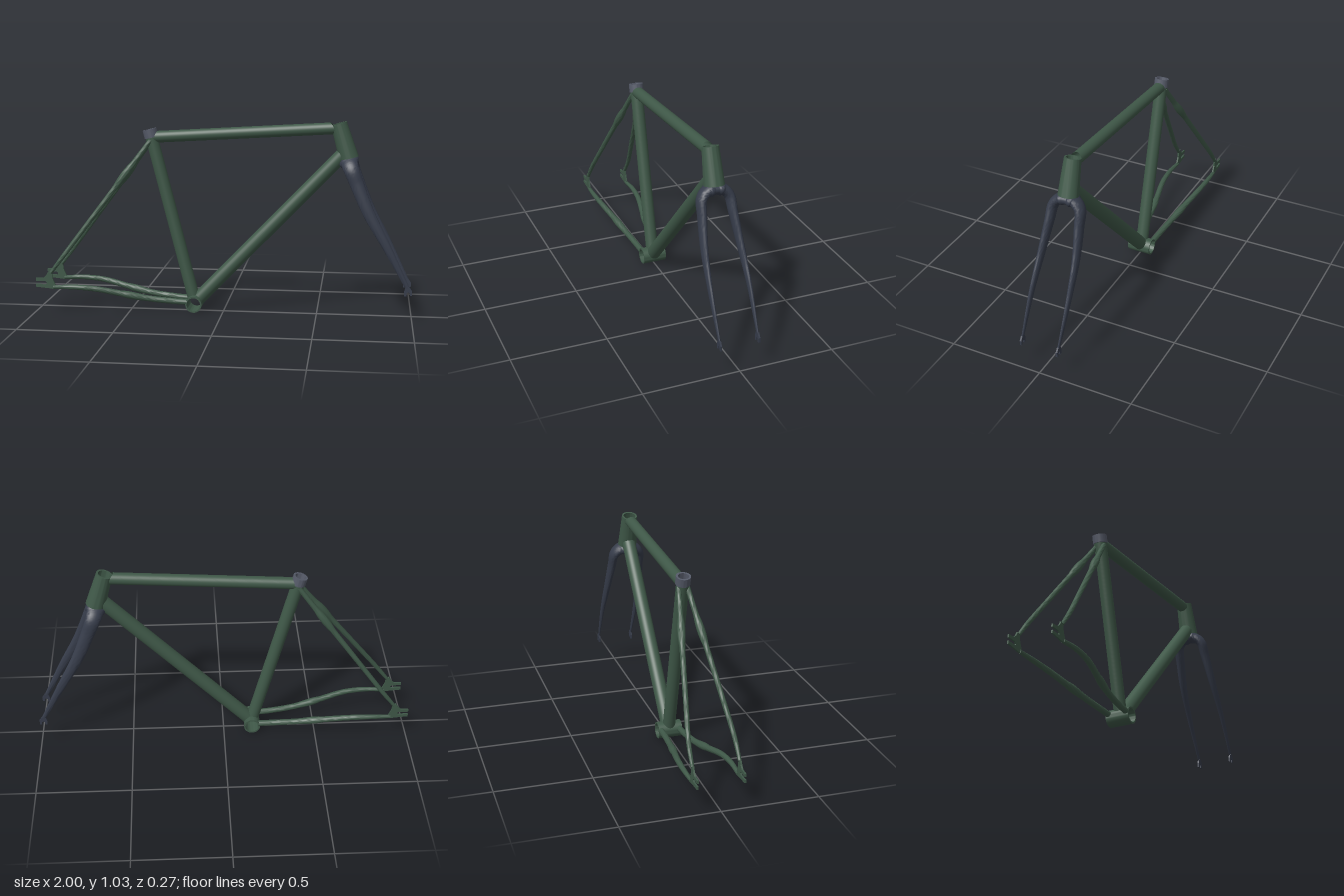
import * as THREE from 'three';
import { toCreasedNormals } from 'three/addons/utils/BufferGeometryUtils.js';

const V = (x, y, z = 0) => new THREE.Vector3(x, y, z);
const paint = (color) => new THREE.MeshStandardMaterial({ color, side: THREE.DoubleSide });
const green = paint(0x3f5848), dark = paint(0x363c4a), steel = paint(0x555a68);

// Main joints of the frame
const BB = V(-0.155, 0.045), SEAT = V(-0.391, 0.966);
const HEAD_TOP = V(0.603, 1.02), HEAD_LOW = V(0.658, 0.838);

export function createModel() {
  const bike = new THREE.Group();
  bike.name = 'bicycleFrame';

  const add = (name, geometry, material) => {
    const mesh = new THREE.Mesh(geometry, material);
    mesh.name = name;
    bike.add(mesh);
    return mesh;
  };

  const align = (geo, a, dir) => {
    geo.applyQuaternion(new THREE.Quaternion().setFromUnitVectors(V(0, 1, 0), dir));
    return geo.translate(a.x, a.y, a.z);
  };

  // Hollow sleeve from a to b with a visible wall
  const sleeve = (name, a, b, ra, rb, wall, material) => {
    const dir = b.clone().sub(a), h = dir.length();
    const profile = [[ra - wall, 0], [ra, 0], [rb, h], [rb - wall, h], [ra - wall, 0]];
    const lathe = new THREE.LatheGeometry(profile.map(([x, y]) => new THREE.Vector2(x, y)), 40);
    add(name, align(toCreasedNormals(lathe, 0.6), a, dir.normalize()), material);
  };

  // Straight tube whose ends are mitred against round tubes {at, axis, r}
  const mitredTube = (name, a, b, r, cutA, cutB) => {
    const dir = b.clone().sub(a), h = dir.length();
    dir.normalize();
    const geo = new THREE.CylinderGeometry(r, r, h, 40, 1, true).translate(0, h / 2, 0);
    align(geo, a, dir);
    const pos = geo.attributes.position, mid = a.clone().add(b).multiplyScalar(0.5);
    for (let i = 0; i < pos.count; i++) {
      const p = V(0, 0).fromBufferAttribute(pos, i);
      const low = p.clone().sub(mid).dot(dir) < 0;
      const cut = low ? cutA : cutB;
      if (!cut) continue;
      const d = dir.clone().multiplyScalar(low ? 1 : -1);
      const w = p.clone().sub(cut.at).projectOnPlane(cut.axis);
      const e = d.clone().projectOnPlane(cut.axis);
      const A = e.dot(e), B = w.dot(e), C = w.dot(w) - cut.r * cut.r;
      p.addScaledVector(d, (-B + Math.sqrt(Math.max(0, B * B - A * C))) / A);
      pos.setXYZ(i, p.x, p.y, p.z);
    }
    add(name, geo, green);
  };

  // Elliptical sweep; each row is [x, y, z, radius along hint, other radius]
  const sweep = (name, rows, hint, material, steps = 48, sides = 20) => {
    const path = new THREE.CatmullRomCurve3(rows.map((r) => V(r[0], r[1], r[2])));
    const radii = new THREE.CatmullRomCurve3(rows.map((r) => V(r[3], r[4] ?? r[3])));
    const verts = [], index = [];
    for (let i = 0; i <= steps; i++) {
      const c = path.getPoint(i / steps), T = path.getTangent(i / steps), r = radii.getPoint(i / steps);
      const side = T.clone().cross(hint).normalize(), wide = side.clone().cross(T);
      for (let j = 0; j < sides; j++) {
        const t = (j / sides) * Math.PI * 2;
        const p = c.clone().addScaledVector(wide, r.x * Math.cos(t)).addScaledVector(side, r.y * Math.sin(t));
        verts.push(p.x, p.y, p.z);
        const a = i * sides + j, b = i * sides + ((j + 1) % sides);
        if (i < steps) index.push(a, b, b + sides, a, b + sides, a + sides);
      }
    }
    const end = steps * sides;
    for (let j = 1; j < sides - 1; j++) index.push(0, j + 1, j, end, end + j, end + j + 1);
    const geo = new THREE.BufferGeometry();
    geo.setAttribute('position', new THREE.Float32BufferAttribute(verts, 3));
    geo.setIndex(index);
    add(name, toCreasedNormals(geo, 0.8), material);
  };

  // Flat plate in the xy plane centred on z
  const plate = (name, outline, z, thick, material) => {
    const shape = new THREE.Shape(outline.map(([x, y]) => new THREE.Vector2(x, y)));
    const geo = new THREE.ExtrudeGeometry(shape, { depth: thick, bevelEnabled: false });
    add(name, geo.translate(0, 0, z - thick / 2), material);
  };

  // Shells and sleeves
  sleeve('bottomBracketShell', V(BB.x, BB.y, -0.064), V(BB.x, BB.y, 0.064), 0.044, 0.044, 0.008, green);
  sleeve('headTube', HEAD_LOW, HEAD_TOP, 0.052, 0.042, 0.01, green);
  const seatDir = SEAT.clone().sub(BB).normalize();
  sleeve('seatCollar', SEAT.clone().addScaledVector(seatDir, -0.032),
    SEAT.clone().addScaledVector(seatDir, 0.012), 0.038, 0.038, 0.011, steel);

  // Main triangle
  const bbCut = { at: BB, axis: V(0, 0, 1), r: 0.041 };
  const seatCut = { at: BB, axis: seatDir, r: 0.032 };
  const headCut = { at: HEAD_LOW, axis: HEAD_TOP.clone().sub(HEAD_LOW).normalize(), r: 0.041 };
  mitredTube('seatTube', BB, SEAT, 0.033, bbCut, null);
  mitredTube('downTube', BB, V(0.632, 0.865), 0.037, bbCut, headCut);
  mitredTube('topTube', V(-0.382, 0.937), V(0.61, 0.997), 0.031, seatCut, headCut);

  // Rear stays and slotted rear dropouts, one set per side
  for (const [side, s] of [['left', 1], ['right', -1]]) {
    const flip = (rows) => rows.map(([x, y, z, ...r]) => [x, y, z * s, ...r]);
    sweep(side + 'SeatStay', flip([
      [-0.385, 0.922, 0.022, 0.013], [-0.476, 0.8, 0.04, 0.014], [-0.57, 0.675, 0.06, 0.014],
      [-0.73, 0.462, 0.092, 0.013], [-0.85, 0.302, 0.115, 0.012], [-0.918, 0.212, 0.118, 0.009],
    ]), V(0, 0, 1), green);
    sweep(side + 'ChainStay', flip([
      [-0.19, 0.056, 0.05, 0.016], [-0.27, 0.061, 0.054, 0.016], [-0.4, 0.075, 0.067, 0.016],
      [-0.54, 0.102, 0.089, 0.016], [-0.68, 0.13, 0.114, 0.015], [-0.8, 0.138, 0.122, 0.013],
      [-0.905, 0.134, 0.118, 0.01],
    ]), V(0, 1, 0), green);
    plate(side + 'RearDropout', [
      [-1, 0.182], [-0.958, 0.184], [-0.942, 0.2], [-0.93, 0.222], [-0.912, 0.212], [-0.908, 0.18],
      [-0.893, 0.146], [-0.897, 0.124], [-0.93, 0.128], [-1, 0.134], [-1, 0.15], [-0.945, 0.148],
      [-0.94, 0.157], [-0.947, 0.166], [-1, 0.166],
    ], s * 0.118, 0.009, green);
    plate(side + 'ForkTip', [
      [0.958, 0.135], [0.957, 0.16], [0.966, 0.188], [0.984, 0.184], [0.998, 0.163], [0.998, 0.138],
      [0.987, 0.138], [0.986, 0.152], [0.978, 0.158], [0.97, 0.152], [0.969, 0.135],
    ], s * 0.1, 0.009, dark);
  }

  // Fork: both blades and the crown in one continuous sweep
  const blade = [
    [0.974, 0.178, 0.1, 0.011, 0.005], [0.866, 0.385, 0.101, 0.022, 0.011],
    [0.765, 0.567, 0.093, 0.031, 0.017], [0.704, 0.71, 0.08, 0.036, 0.022],
    [0.674, 0.785, 0.071, 0.04, 0.025], [0.662, 0.816, 0.04, 0.044, 0.028],
  ];
  const mirrored = blade.map(([x, y, z, a, b]) => [x, y, -z, a, b]).reverse();
  sweep('fork', [...blade, [0.66, 0.821, 0, 0.044, 0.028], ...mirrored],
    V(0.96, 0.28, 0), dark, 120, 24);

  return bike;
}
